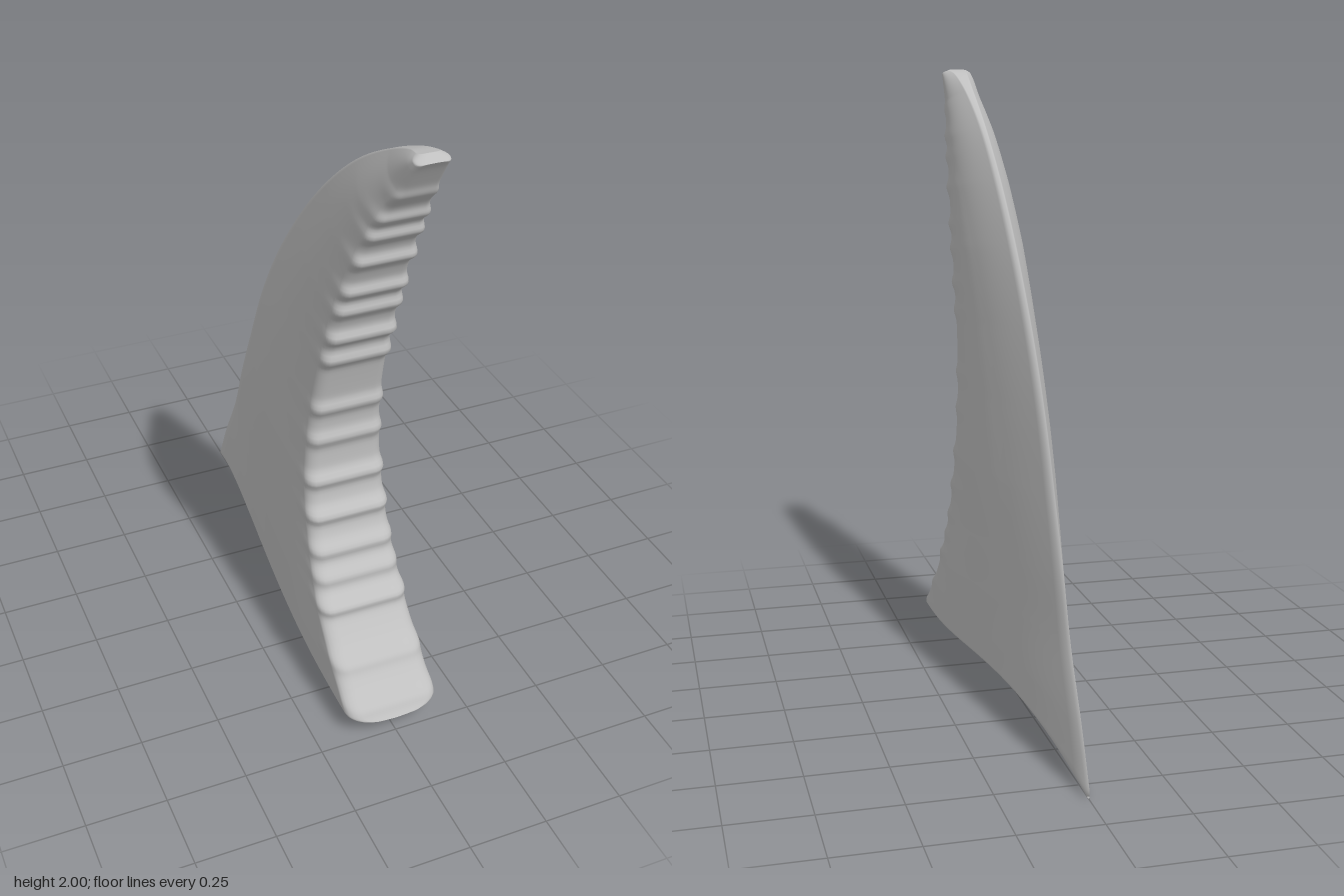
import * as THREE from 'three';

const grey = new THREE.MeshStandardMaterial({ color: 0xbfbfbf });
grey.name = 'grey';

// Matching points (z, y) up the sharp back edge and the ridged front edge
const curve = (pts) => new THREE.CatmullRomCurve3(pts.map(([z, y]) => new THREE.Vector3(0, y, z)));
const backEdge = curve([[-0.84, 0.002], [-0.75, 0.18], [-0.64, 0.37], [-0.56, 0.56], [-0.465, 0.76], [-0.35, 0.99],
  [-0.2, 1.22], [0, 1.46], [0.2, 1.655], [0.4, 1.81], [0.6, 1.925], [0.74, 1.985], [0.81, 2.0]]);
const frontEdge = curve([[0.765, 0.06], [0.655, 0.17], [0.53, 0.31], [0.43, 0.5], [0.375, 0.72], [0.38, 0.95],
  [0.43, 1.17], [0.51, 1.4], [0.595, 1.59], [0.685, 1.76], [0.77, 1.88], [0.825, 1.96], [0.845, 1.985]]);

// Half thickness by height step
const thickness = [0.152, 0.152, 0.148, 0.138, 0.13, 0.118, 0.11, 0.105, 0.094, 0.078, 0.06, 0.055, 0.052];
// Ridges across the front: height, strength
const ridges = [[0.1, 0.6], [0.2, 0.7], [0.34, 1.2], [0.42, 0.8], [0.5, 0.9], [0.61, 1.1], [0.73, 1], [0.88, 0.8], [1.0, 0.8],
  [1.2, 1], [1.29, 1.2], [1.4, 1], [1.48, 1.1], [1.6, 1.1], [1.7, 1], [1.77, 0.9], [1.86, 0.5]];

const lerp = THREE.MathUtils.lerp;
function thicknessAt(v) {
  const s = v * (thickness.length - 1), i = Math.min(Math.floor(s), thickness.length - 2);
  return lerp(thickness[i], thickness[i + 1], s - i);
}
const ridgeAt = (y) => ridges.reduce((sum, [h, a]) => sum + a * Math.exp(-(((y - h) / 0.023) ** 2)), 0);
// Rounds the thickness off at the bottom and at the tip
const roundEnd = (t) => (t >= 1 ? 1 : Math.cbrt(1 - (1 - t) ** 3));

const SIDE = 22, CORNER = 5, FRONT = 3;

// Half of one cross-section, from the back edge to the middle of the front
function halfSection(v) {
  const b = backEdge.getPoint(v), f = frontEdge.getPoint(v);
  const length = b.distanceTo(f);
  const end = roundEnd(v / 0.022) * roundEnd((1 - v) / 0.035);
  const w = thicknessAt(v);
  const r = Math.min(0.3 * w, 0.3 * length);
  const edge = lerp(0.006, 0.036, Math.max(0, (v - 0.7) / 0.3) ** 2);
  const ridge = ridgeAt(f.y) * (v < 0.95 ? 1 : (1 - v) / 0.05);
  const points = [];
  const add = (d, x) => {
    const u = d / length;
    const near = Math.exp(-(length - d) / 0.05);
    const arch = 0.1 * Math.sin(Math.PI * Math.min(1, u) ** 0.7) ** 1.6 * Math.exp(-v * 9);
    const wide = x + 0.009 * (ridge - 0.4) * near * Math.min(1, x / w);
    points.push([wide * end, lerp(b.y, f.y, u) + arch, lerp(b.z, f.z, u) + 0.02 * (ridge - 0.45) * near]);
  };
  for (let i = 0; i <= SIDE; i++) {
    const u = i / SIDE;
    add(u * (length - r), lerp(edge, w, Math.sin(Math.min(1, u / 0.88) * Math.PI / 2)));
  }
  for (let i = 1; i <= CORNER; i++) {
    const a = (i / CORNER) * Math.PI / 2;
    add(length - r + r * Math.sin(a), w - r + r * Math.cos(a));
  }
  for (let i = 1; i <= FRONT; i++) add(length, (w - r) * (1 - i / FRONT));
  return points;
}

function finGeometry() {
  const ROWS = 300, positions = [], index = [];
  let ring = 0;
  for (let row = 0; row <= ROWS; row++) {
    // Rows crowd together at both ends
    const t = row / ROWS, v = lerp(t, (1 - Math.cos(Math.PI * t)) / 2, 0.75);
    const half = halfSection(v);
    const mirrored = half.slice(0, -1).reverse().map(([x, y, z]) => [-x, y, z]);
    const section = [...half, ...mirrored];
    const lean = -0.012 * Math.sin(Math.PI * v);
    ring = section.length;
    for (const [x, y, z] of section) positions.push(x + lean * Math.min(1, Math.abs(x) * 12), y, z);
  }
  for (let row = 0; row < ROWS; row++) {
    for (let i = 0; i < ring; i++) {
      const a = row * ring + i, b = row * ring + ((i + 1) % ring);
      index.push(a, b + ring, b, a, a + ring, b + ring);
    }
  }
  const geometry = new THREE.BufferGeometry();
  geometry.setAttribute('position', new THREE.Float32BufferAttribute(positions, 3));
  geometry.setIndex(index);
  geometry.computeVertexNormals();
  return geometry;
}

export function createModel() {
  const group = new THREE.Group();
  group.name = 'curvedFin';
  const fin = new THREE.Mesh(finGeometry(), grey);
  fin.name = 'ridgedFin';
  group.add(fin);
  return group;
}
